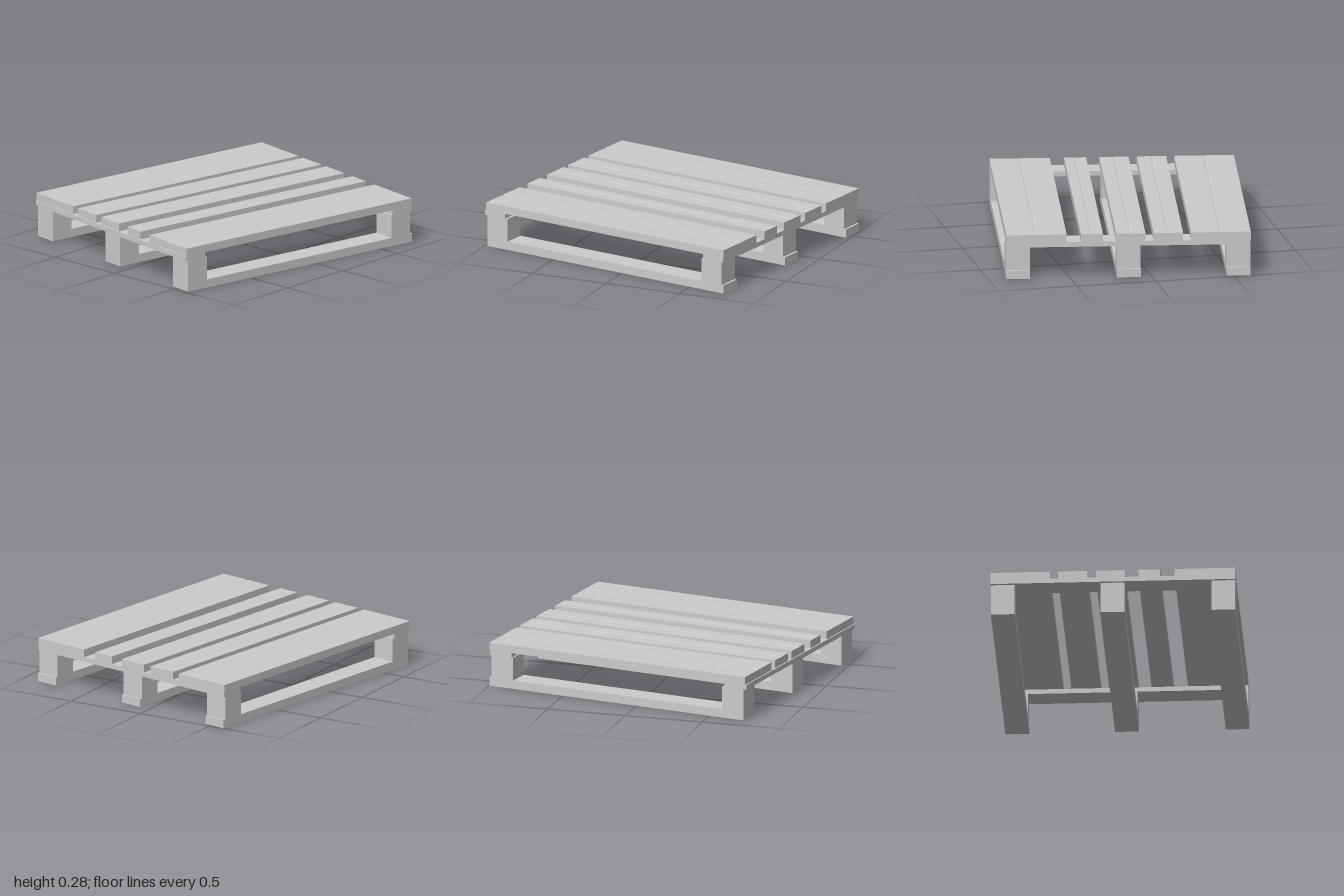
import * as THREE from 'three';

const material = new THREE.MeshStandardMaterial({ color: 0xcccccc, flatShading: true });

// Box given by its extents along each axis
function beam(name, [x0, x1], [y0, y1], [z0, z1]) {
  const mesh = new THREE.Mesh(new THREE.BoxGeometry(x1 - x0, y1 - y0, z1 - z0), material);
  mesh.position.set((x0 + x1) / 2, (y0 + y1) / 2, (z0 + z1) / 2);
  mesh.name = name;
  return mesh;
}

// Deck board running along x, with a shallow groove down its middle
function deckBoard([x0, x1], [y0, y1], [z0, z1]) {
  const half = (z1 - z0) / 2;
  const profile = new THREE.Shape([
    [-half, 0], [half, 0], [half, y1 - y0], [0.012, y1 - y0],
    [0, y1 - y0 - 0.003], [-0.012, y1 - y0], [-half, y1 - y0],
  ].map(([x, y]) => new THREE.Vector2(x, y)));
  const geometry = new THREE.ExtrudeGeometry(profile, { depth: x1 - x0, bevelEnabled: false });
  geometry.rotateY(Math.PI / 2);
  const mesh = new THREE.Mesh(geometry, material);
  mesh.position.set(x0, y0, (z0 + z1) / 2);
  mesh.name = 'deckBoard';
  return mesh;
}

export function createModel() {
  const model = new THREE.Group();
  model.name = 'pallet';

  // Top boards: wide at both edges, narrower between
  const boards = [[-0.76, -0.39], [-0.34, -0.157], [-0.106, 0.075], [0.157, 0.293], [0.382, 0.756]];
  for (const z of boards) model.add(deckBoard([-0.88, 0.882], [0.23, 0.28], z));

  // Cross bearers under the board ends
  for (const x of [[-0.888, -0.738], [0.732, 0.881]]) {
    model.add(beam('crossBearer', x, [0.2, 0.23], [-0.757, 0.757]));
  }

  // Three bottom runners, each with a block at either end
  for (const z of [-0.683, -0.003, 0.683]) {
    const span = [z - 0.074, z + 0.074];
    model.add(beam('bottomRunner', [-0.87, 0.885], [0, 0.053], span));
    for (const x of [[-0.87, -0.722], [0.722, 0.87]]) {
      model.add(beam('spacerBlock', x, [0.053, 0.2], span));
    }
  }

  // The whole pallet stands slightly turned
  model.rotation.y = -0.165;
  const root = new THREE.Group();
  root.add(model);
  return root;
}
